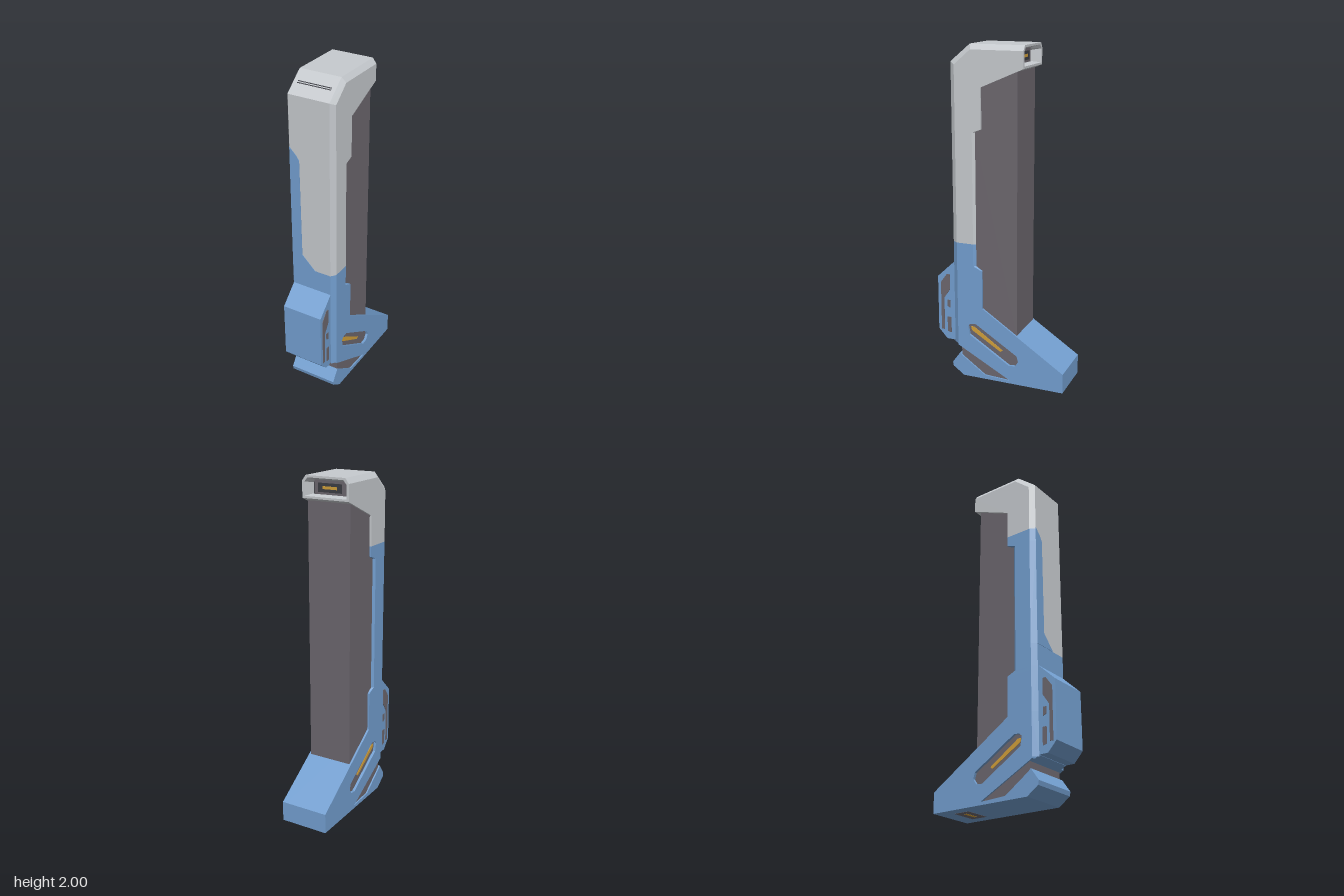
import * as THREE from 'three';

const mat = (name, color, side = THREE.FrontSide) => {
  const m = new THREE.MeshStandardMaterial({ color, side });
  m.name = name;
  return m;
};

export function createModel() {
  const group = new THREE.Group();
  const grey = mat('lightGrey', 0xc6cace);
  const blue = mat('blue', 0x739fd0);
  const dark = mat('darkGrey', 0x6c676e);
  const black = mat('charcoal', 0x3c3d44);
  const yellow = mat('yellow', 0xd2a03a);

  const add = (name, geometry, material) => {
    const mesh = new THREE.Mesh(geometry, material);
    mesh.name = name;
    group.add(mesh);
    return mesh;
  };
  const toShape = (pts) => new THREE.Shape(pts.map(([a, b]) => new THREE.Vector2(a, b)));

  // Side profile given as (z, y), extruded across x from x0 to x1
  const slab = (name, pts, x0, x1, material, hole) => {
    const shape = toShape(pts);
    if (hole) shape.holes.push(toShape(hole));
    const g = new THREE.ExtrudeGeometry(shape, { depth: x1 - x0, bevelEnabled: false });
    g.rotateY(-Math.PI / 2).translate(x1, 0, 0);
    return add(name, g, material);
  };
  const bothSides = (name, pts, x0, x1, material, hole) => {
    slab(name + 'Left', pts, x0, x1, material, hole);
    slab(name + 'Right', pts, -x1, -x0, material, hole);
  };
  const box = (name, w, h, d, x, y, z, material) => {
    const m = add(name, new THREE.BoxGeometry(w, h, d), material);
    m.position.set(x, y, z);
    return m;
  };

  // Shell: rings of outer edge, chamfer edge, inner edge and inner bevel
  const ring = ([pz, py, qz, qy, rz, ry, bevel = 0, a = 0.125, b = 0.147, c = 0.135]) => {
    const half = [[a, py, pz], [b, qy, qz], [b, ry, rz], [c, ry, rz - bevel]];
    return [...half, ...half.slice().reverse().map(([x, y, z]) => [-x, y, z])];
  };
  const post = (y, r, bevel) => [0.295, y, 0.265, y, r, y, bevel];
  const stations = [
    post(0.455, 0.105, 0), post(0.69, 0.105, 0), post(0.715, 0.16, 0.015),
    post(0.85, 0.16, 0.015), post(1.51, 0.16, 0.015), post(1.53, 0.105, 0), post(1.59, 0.105, 0),
    [0.295, 1.9, 0.265, 1.885, 0.105, 1.765],
    [0.175, 2, 0.165, 1.97, 0.1, 1.767],
    [-0.15, 2, -0.15, 1.97, -0.15, 1.875],
    // hollow at the back of the hood
    [-0.15, 1.988, -0.15, 1.965, -0.15, 1.887, 0, 0.113, 0.132, 0.122],
    [-0.09, 1.97, -0.09, 1.955, -0.09, 1.895, 0, 0.095, 0.11, 0.105],
  ];
  const rings = stations.map(ring);
  const greyPos = [], bluePos = [];
  for (let i = 0; i < rings.length - 1; i++) {
    for (let j = 0; j < 8; j++) {
      const k = (j + 1) % 8;
      const [A, B, C, D] = [rings[i][j], rings[i][k], rings[i + 1][k], rings[i + 1][j]];
      // the right side stays blue higher than the rest
      const isBlue = i < 3 || (i < 6 && j >= 4 && j <= 6);
      (isBlue ? bluePos : greyPos).push(...A, ...B, ...C, ...A, ...C, ...D);
    }
  }
  const faces = (pos) => {
    const g = new THREE.BufferGeometry();
    g.setAttribute('position', new THREE.Float32BufferAttribute(pos, 3));
    g.computeVertexNormals();
    return g;
  };
  add('upperShell', faces(greyPos), grey);
  add('lowerShell', faces(bluePos), blue);

  // Painted blue patch on the front
  const patch = new THREE.ExtrudeGeometry(
    toShape([[-0.125, 0.85], [0.025, 0.85], [-0.06, 0.935], [-0.065, 1.53], [-0.08, 1.555], [-0.125, 1.6]]),
    { depth: 0.002, bevelEnabled: false });
  add('frontPatch', patch.translate(0, 0, 0.295), blue);

  // Hood details
  box('hoodPanel', 0.2, 0.08, 0.01, 0, 1.932, -0.092, dark);
  box('hoodPanelInset', 0.15, 0.05, 0.006, 0, 1.932, -0.098, black);
  box('hoodMark', 0.09, 0.016, 0.006, 0, 1.932, -0.1, yellow);
  for (const t of [0.46, 0.53]) {
    const line = box('hoodSlot', 0.204, 0.002, 0.005, 0, 2 - 0.1 * t, 0.175 + 0.12 * t, black);
    line.rotation.x = Math.atan2(0.1, 0.12);
  }

  // Dark core column
  slab('core', [[-0.112, 0.3], [0.2, 0.5], [0.2, 1.75], [0.1, 1.775], [-0.112, 1.87]], -0.135, 0.135, dark);

  // Foot with recessed side slots
  const slot = [[0.2, 0.33], [0.185, 0.345], [0.15, 0.35], [-0.115, 0.185], [-0.125, 0.15],
    [-0.105, 0.118], [-0.065, 0.115], [0.19, 0.275]];
  const sole = [[0.105, 0.455], [-0.405, 0.12], [-0.405, 0], [-0.04, 0], [-0.07, 0.02]];
  const underAt = (z) => 0.02 + (z + 0.07) * 0.53;
  bothSides('footCheek', [[0.265, 0.455], ...sole, [0.265, underAt(0.265)]], 0.125, 0.147, blue, slot);
  slab('footBody', [[0.295, 0.455], ...sole, [0.295, underAt(0.295)]], -0.125, 0.125, blue);
  bothSides('slotFloor', slot, 0.125, 0.131, dark);
  bothSides('slotMark', [[0.185, 0.325], [0.165, 0.325], [-0.02, 0.2], [-0.005, 0.19], [0.18, 0.302]],
    0.131, 0.134, yellow);

  // Front chamfers joining foot and shell
  const chamfer = [];
  const [lo, hi] = [underAt(0.28), 0.455];
  for (const s of [1, -1]) {
    const A = [0.125 * s, lo, 0.295], B = [0.147 * s, lo, 0.265];
    const C = [0.147 * s, hi, 0.265], D = [0.125 * s, hi, 0.295];
    chamfer.push(...(s > 0 ? [A, B, C, A, C, D] : [A, C, B, A, D, C]).flat());
  }
  add('ankleChamfer', faces(chamfer), blue);

  // Knee block with dark side inlays
  slab('kneeBlock', [[0.28, 0.72], [0.295, 0.72], [0.405, 0.615], [0.405, 0.275], [0.35, 0.215], [0.28, 0.215]],
    -0.125, 0.125, blue);
  const inlays = [
    [[0.385, 0.58], [0.345, 0.635], [0.325, 0.635], [0.325, 0.54], [0.365, 0.48], [0.365, 0.275], [0.385, 0.275]],
    [[0.345, 0.47], [0.325, 0.47], [0.325, 0.42], [0.345, 0.43]],
    [[0.345, 0.36], [0.32, 0.36], [0.32, 0.26], [0.345, 0.265]],
  ];
  inlays.forEach((p, i) => bothSides('kneeInlay' + (i + 1), p, 0.125, 0.128, dark));

  // Toe plate and dark joint behind it
  slab('toe', [[0.305, 0.075], [0.255, 0.145], [0.24, 0.13], [0.09, 0.025], [-0.07, 0.018],
    [-0.07, 0], [0.23, 0], [0.3, 0.05]], -0.147, 0.147, blue);
  slab('toeJoint', [[0.245, 0.19], [0.245, 0.12], [0.09, 0.015], [-0.06, 0.015], [-0.06, 0.03]],
    -0.138, 0.138, dark);

  // Inlay under the heel
  box('heelInlay', 0.16, 0.004, 0.1, 0, 0.001, -0.26, dark);
  box('heelMark', 0.09, 0.004, 0.02, 0, 0, -0.26, yellow);

  return group;
}
